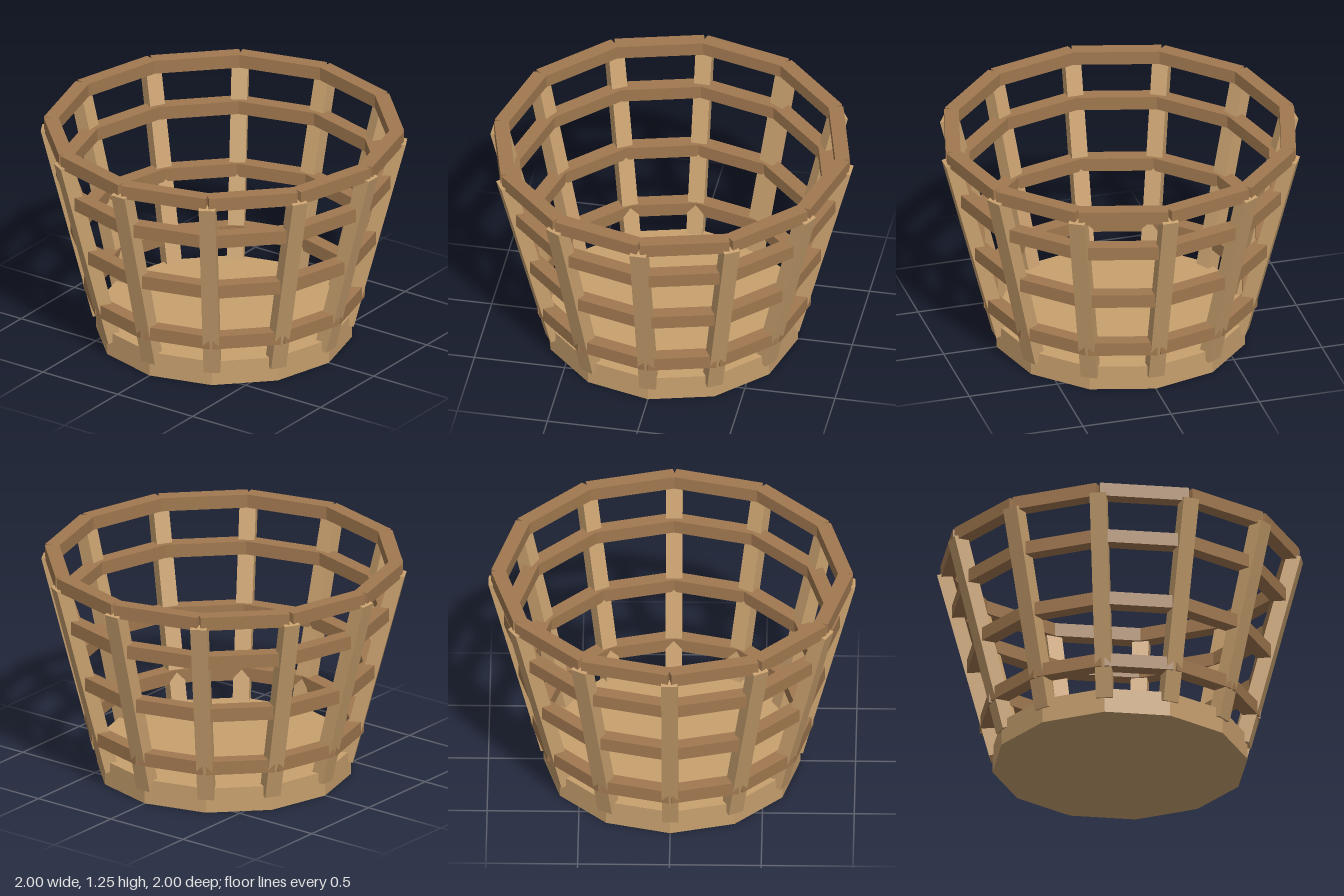
import * as THREE from 'three';

const SIDES = 12;
const STEP = (Math.PI * 2) / SIDES;

export function createModel() {
  const paleWood = new THREE.MeshStandardMaterial({ color: 0xc8a06e, flatShading: true });
  paleWood.name = 'paleWood';
  const brownWood = new THREE.MeshStandardMaterial({ color: 0xa0784f, flatShading: true });
  brownWood.name = 'brownWood';

  const basket = new THREE.Group();
  basket.name = 'basket';

  // Box placed at a radius and height, leaning outward, turned about the y axis
  function addAround(parent, name, geometry, material, angle, radius, y, lean = 0) {
    const arm = new THREE.Group();
    arm.name = name;
    arm.rotation.y = angle;
    const mesh = new THREE.Mesh(geometry, material);
    mesh.name = name;
    mesh.position.set(0, y, radius);
    mesh.rotation.x = lean;
    arm.add(mesh);
    parent.add(arm);
  }

  // Solid twelve-sided floor
  const base = new THREE.Mesh(new THREE.CylinderGeometry(0.7, 0.7, 0.14, SIDES), paleWood);
  base.name = 'base';
  base.position.y = 0.07;
  basket.add(base);

  // Leaning slats, one at each corner, from bottom centre to top centre
  const [r0, y0, r1, y1] = [0.675, 0.09, 0.96, 1.19];
  const slatGeometry = new THREE.BoxGeometry(0.09, Math.hypot(r1 - r0, y1 - y0), 0.08);
  const lean = Math.atan2(r1 - r0, y1 - y0);
  const slats = new THREE.Group();
  slats.name = 'slats';
  for (let i = 0; i < SIDES; i++) {
    addAround(slats, 'slat', slatGeometry, paleWood, i * STEP, (r0 + r1) / 2, (y0 + y1) / 2, lean);
  }
  basket.add(slats);

  // Horizontal rings of straight rails between the slats: [name, corner radius, centre height]
  const rings = [
    ['lowerRing', 0.731, 0.283],
    ['middleRing', 0.806, 0.62],
    ['upperRing', 0.886, 0.957],
    ['rim', 0.946, 1.207],
  ];
  for (const [name, radius, y] of rings) {
    const ring = new THREE.Group();
    ring.name = name;
    const rail = new THREE.BoxGeometry(2 * radius * Math.sin(STEP / 2), 0.076, 0.08);
    for (let i = 0; i < SIDES; i++) {
      addAround(ring, 'rail', rail, brownWood, (i + 0.5) * STEP, radius * Math.cos(STEP / 2), y);
    }
    basket.add(ring);
  }

  return basket;
}
